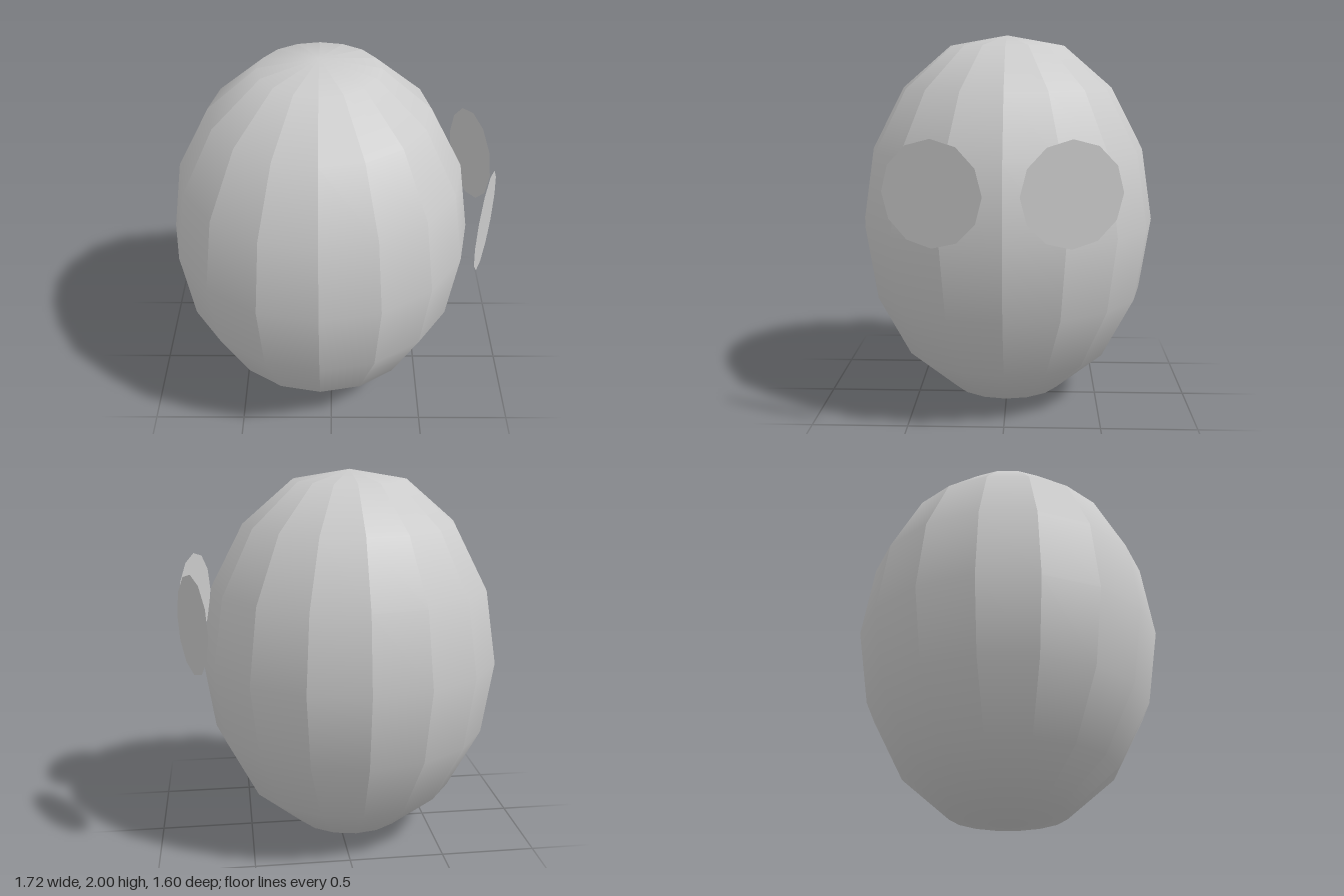
import * as THREE from 'three';

const SEGMENTS = 16;
const BODY_X = -0.06;

// Egg body: sixteen gores, smooth from pole to pole and creased between gores
function createBodyGeometry() {
  const half = [[0.8, 0], [0.74, 0.39], [0.566, 0.723], [0.306, 0.946], [0, 1]];
  const profile = [
    ...half.slice(1).reverse().map(([r, y]) => new THREE.Vector2(r, 1 - y)),
    ...half.map(([r, y]) => new THREE.Vector2(r, 1 + y)),
  ];
  const geometry = new THREE.LatheGeometry(profile, SEGMENTS).toNonIndexed();
  const { position, normal } = geometry.attributes;
  const perGore = position.count / SEGMENTS;
  for (let i = 0; i < position.count; i++) {
    // Turn each normal to the middle direction of its gore; poles point straight up or down
    const angle = (Math.floor(i / perGore) + 0.5) * (2 * Math.PI / SEGMENTS);
    const pole = Math.hypot(position.getX(i), position.getZ(i)) < 1e-4;
    const flat = pole ? 0 : Math.hypot(normal.getX(i), normal.getZ(i));
    const up = pole ? Math.sign(position.getY(i) - 1) : normal.getY(i);
    normal.setXYZ(i, flat * Math.sin(angle), up, flat * Math.cos(angle));
  }
  return geometry;
}

export function createModel() {
  const model = new THREE.Group();
  model.name = 'eggHead';

  const bodyMaterial = new THREE.MeshStandardMaterial({ color: 0xcccccc });
  const discMaterial = new THREE.MeshStandardMaterial({ color: 0xcccccc, side: THREE.DoubleSide });

  const body = new THREE.Mesh(createBodyGeometry(), bodyMaterial);
  body.name = 'body';
  body.position.x = BODY_X;
  model.add(body);

  // Flat disc with twelve corners, one of them at the top
  const disc = (name, radius, offset) => {
    const mesh = new THREE.Mesh(new THREE.CircleGeometry(radius, 12), discMaterial);
    mesh.name = name;
    mesh.position.z = offset;
    return mesh;
  };

  // Pair of floating eyes on the +x side, each turned outwards
  for (const side of [1, -1]) {
    const eye = new THREE.Group();
    eye.name = side > 0 ? 'frontEye' : 'backEye';
    eye.add(disc('eyeWhite', 0.257, 0), disc('pupil', 0.154, 0.01));
    eye.position.set(0.777, 1.263, side * 0.329);
    eye.rotation.y = Math.PI / 2 - side * THREE.MathUtils.degToRad(18.8);
    model.add(eye);
  }
  return model;
}
